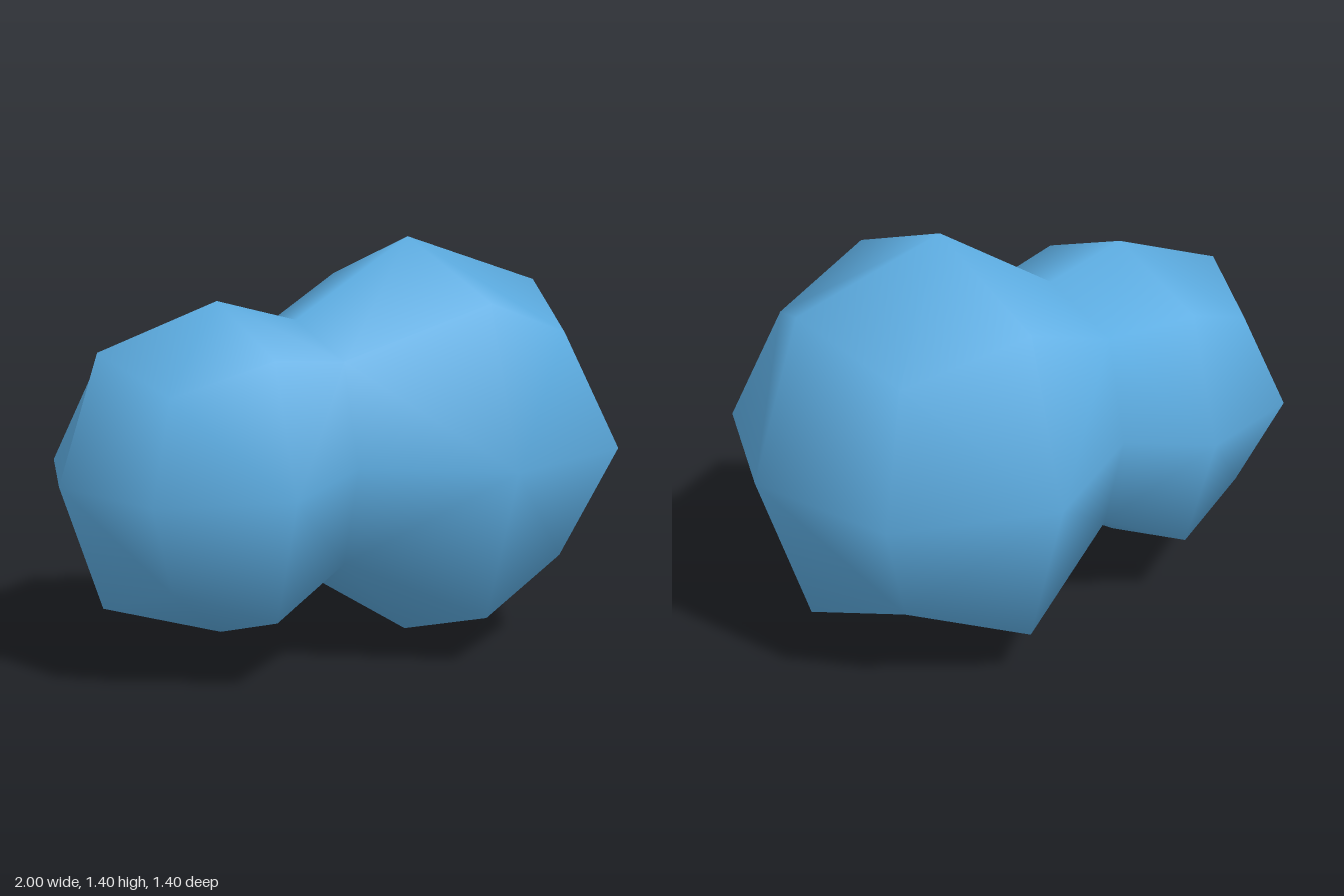
import * as THREE from 'three';

// Eight-sided rings along x, from the large lobe to the small one.
// Even points lie on the y/z axes, odd points on the diagonals:
// [xEven, xOdd, offsetEven, offsetOdd (per axis), centreY, centreZ]
const BIG = 0.7, SMALL = 0.56, EDGE = 0.75, CORNER = 5 / 9;
const bigX = 0.3, smallX = -0.44;
const RINGS = [
  [bigX + BIG * EDGE, bigX + BIG * CORNER, BIG * EDGE, BIG * CORNER, 0.7, 0],
  [bigX, bigX, BIG, BIG * EDGE, 0.7, 0],
  [-0.14, -0.14, 0.43, 0.335, 0.71, 0.01], // neck
  [smallX, smallX, SMALL, SMALL * EDGE, 0.663, 0.028],
  [smallX - SMALL * EDGE, smallX - SMALL * CORNER, SMALL * EDGE, SMALL * CORNER, 0.663, 0.028],
];

function lobesGeometry() {
  const pos = [], index = [];
  for (const [xe, xo, even, odd, cy, cz] of RINGS) {
    for (let k = 0; k < 8; k++) {
      const a = (k * Math.PI) / 4;
      const r = k % 2 ? odd * Math.SQRT2 : even;
      pos.push(k % 2 ? xo : xe, cy + r * Math.cos(a), cz + r * Math.sin(a));
    }
  }
  const poleA = RINGS.length * 8, poleB = poleA + 1;
  pos.push(1, 0.7, 0, -1, 0.663, 0.028);

  // side strips, with diagonals that mirror about each corner
  for (let j = 0; j < RINGS.length - 1; j++) {
    for (let k = 0; k < 8; k++) {
      const n = (k + 1) % 8;
      const a = j * 8 + k, a2 = j * 8 + n, b = a + 8, b2 = a2 + 8;
      if ((j + k) % 2) index.push(a, b, b2, a, b2, a2);
      else index.push(a, b, a2, b, b2, a2);
    }
  }
  // end caps
  const last = (RINGS.length - 1) * 8;
  for (let k = 0; k < 8; k++) {
    const n = (k + 1) % 8;
    index.push(poleA, k, n, poleB, last + n, last + k);
  }

  const geo = new THREE.BufferGeometry();
  geo.setAttribute('position', new THREE.Float32BufferAttribute(pos, 3));
  geo.setIndex(index);
  geo.computeVertexNormals();
  return geo;
}

export function createModel() {
  const group = new THREE.Group();
  group.name = 'twoLobedBlob';
  const skyBlue = new THREE.MeshStandardMaterial({ color: 0x5dade2 });
  skyBlue.name = 'skyBlue';
  const body = new THREE.Mesh(lobesGeometry(), skyBlue);
  body.name = 'joinedLobes';
  group.add(body);
  return group;
}
